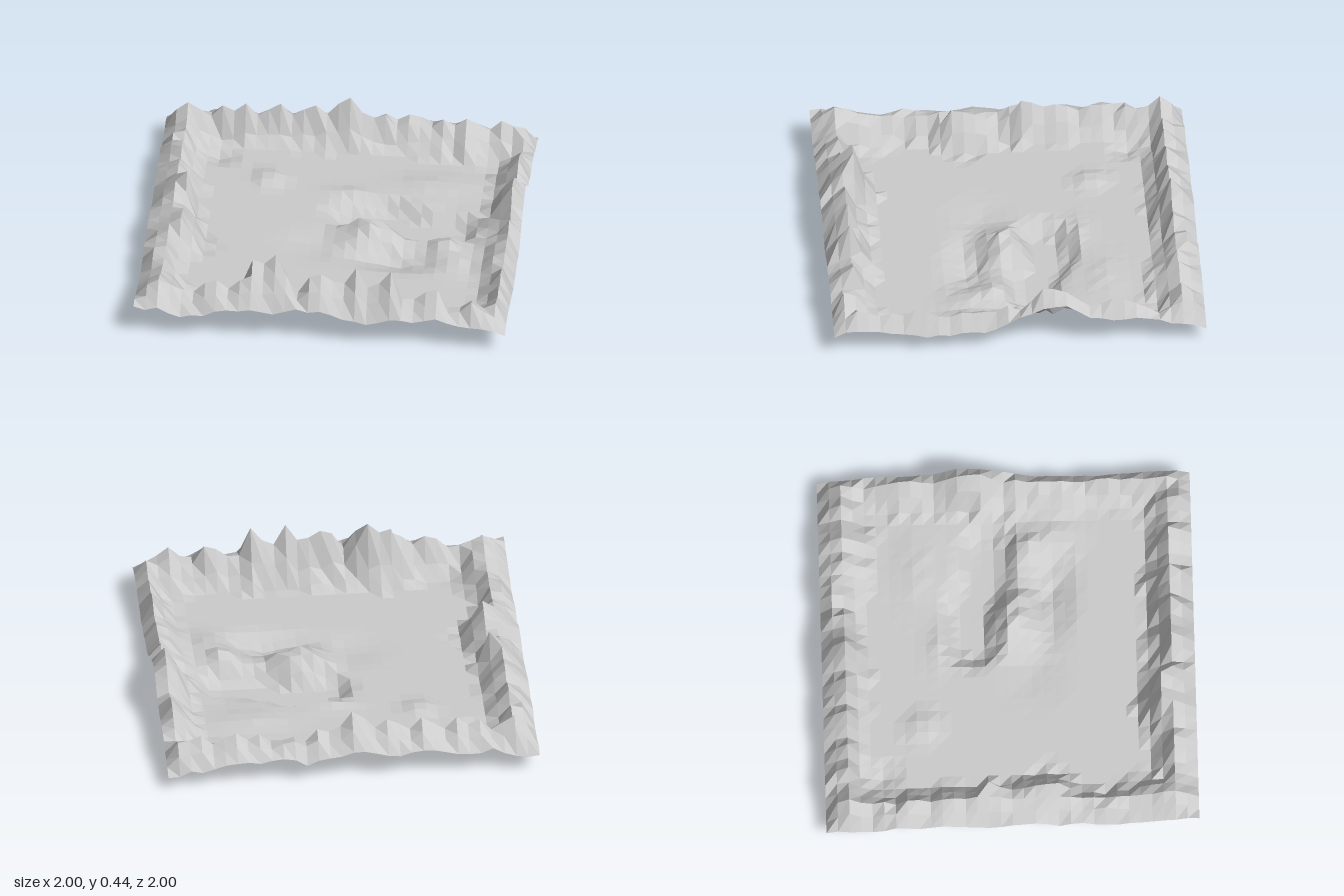
import * as THREE from 'three';

const N = 32;         // cells per side
const FLOOR = 0.08;   // height of the valley floor

// Repeatable noise in -1..1
const noise = (i, j) => {
  const s = Math.sin(i * 127.1 + j * 311.7 + 4.3) * 43758.5453;
  return (s - Math.floor(s)) * 2 - 1;
};

// Samples an evenly spaced list at t = 0..1
const sample = (list, t) => {
  const f = t * (list.length - 1);
  const k = Math.min(Math.floor(f), list.length - 2);
  return THREE.MathUtils.lerp(list[k], list[k + 1], f - k);
};

// Mountain rims: crest and outer edge heights along each side (from -1 to 1),
// with the crest (at) and inner foot given in cells from the edge
const rims = {
  front: {
    crest: [0.22, 0.25, 0.25, 0.24, 0.23, 0.22, 0.28, 0.3, 0.25, 0.33, 0.4, 0.38, 0.44, 0.39, 0.25, 0.35, 0.37,
      0.33, 0.32, 0.42, 0.3, 0.33, 0.41, 0.24, 0.24, 0.29, 0.31, 0.22, 0.24, 0.33, 0.26, 0.22, 0.16],
    edge: [0.19, 0.17, 0.14, 0.16, 0.2, 0.2, 0.18, 0.22, 0.22, 0.17, 0.15, 0.19, 0.17, 0.2, 0.16, 0.15, 0.13],
    at: [2, 2, 2, 2, 2, 3, 3, 2, 2, 2, 2, 2, 2, 2, 1.5, 1.5, 2],
    foot: [3.6, 4, 4, 4, 4.2, 4.8, 5, 4.8, 4, 4, 4.3, 4.2, 4, 4, 4, 3.6, 3.4],
  },
  back: {
    crest: [0.18, 0.23, 0.28, 0.24, 0.2, 0.27, 0.24, 0.29, 0.22, 0.26, 0.3, 0.23, 0.27, 0.3, 0.25, 0.32, 0.36,
      0.27, 0.24, 0.29, 0.23, 0.27, 0.24, 0.21, 0.25, 0.22, 0.28, 0.24, 0.2, 0.26, 0.23, 0.19, 0.16],
    edge: [0.1, 0.12, 0.16, 0.13, 0.15, 0.18, 0.14, 0.17, 0.19, 0.15, 0.13, 0.17, 0.14, 0.16, 0.12, 0.12, 0.08],
    at: [2, 2, 2, 2, 2, 2, 2, 2, 2, 2, 1.6, 1.5, 2, 2.4, 2, 2, 2],
    foot: [3.6, 3.3, 3.3, 3.4, 3.5, 3.8, 4, 4, 3.6, 3.4, 3.5, 4.2, 4.8, 5, 4.6, 3.6, 3.4],
  },
  left: { // +x side
    crest: [0.14, 0.2, 0.26, 0.2, 0.15, 0.19, 0.22, 0.25, 0.26, 0.24, 0.23, 0.28, 0.33, 0.35, 0.34, 0.26, 0.2,
      0.24, 0.2, 0.22, 0.23, 0.24, 0.21, 0.2, 0.22, 0.23, 0.2, 0.22, 0.2, 0.22, 0.24, 0.2, 0.16],
    edge: [0.08, 0.13, 0.15, 0.17, 0.17, 0.18, 0.27, 0.25, 0.2, 0.13, 0.12, 0.11, 0.1, 0.12, 0.14, 0.15, 0.13],
    at: [1.5, 1.5, 1, 1, 1, 1.5, 1.5, 1, 1, 1, 1.5, 1.5, 1, 1, 1, 1, 1.5],
    foot: [3.4, 3.2, 3.2, 3, 3.4, 3, 3, 3.4, 3.2, 3.4, 3, 3.4, 3, 3, 3, 3, 3.4],
  },
  right: { // -x side
    crest: [0.18, 0.23, 0.24, 0.22, 0.2, 0.25, 0.22, 0.26, 0.24, 0.21, 0.25, 0.26, 0.24, 0.3, 0.33, 0.29, 0.23,
      0.24, 0.25, 0.27, 0.28, 0.25, 0.21, 0.24, 0.26, 0.24, 0.22, 0.24, 0.26, 0.3, 0.31, 0.25, 0.22],
    edge: [0.09, 0.12, 0.11, 0.15, 0.13, 0.16, 0.14, 0.12, 0.15, 0.17, 0.14, 0.16, 0.13, 0.14, 0.17, 0.18, 0.19],
    at: [2, 2, 2, 1.5, 2, 2.3, 2, 3, 2.5, 3, 3, 2, 1.5, 2, 2.5, 2.5, 2],
    foot: [3.6, 4, 4, 3.6, 4, 4.2, 4, 4, 4.4, 5.4, 5.2, 3.7, 3.4, 4.4, 5, 4.8, 4],
  },
};

// Height of one rim, d cells in from its edge and t along it
function rimHeight(rim, d, t, n) {
  const top = sample(rim.crest, t), low = sample(rim.edge, t), at = sample(rim.at, t);
  const end = sample(rim.foot, t) + n * 0.5;
  if (d >= end) return 0;
  if (d <= at) return THREE.MathUtils.lerp(low, top, Math.pow(d / at, 0.9));
  return FLOOR + (top - FLOOR) * Math.pow((end - d) / (end - at), 1.2);
}

// Gentle mounds and dips on the floor: x, z, radius x, radius z, height
const swells = [
  [0.17, 0.02, 0.12, 0.12, 0.1], [0.3, 0.08, 0.06, 0.06, 0.03], [0.6, 0.12, 0.07, 0.12, 0.05],
  [0.35, 0.24, 0.2, 0.09, -0.055], [-0.1, 0.15, 0.14, 0.12, -0.015], [-0.4, -0.47, 0.07, 0.08, 0.035],
  [0.5, -0.48, 0.2, 0.1, 0.02], [0.66, 0.25, 0.12, 0.12, 0.025], [-0.72, 0.18, 0.06, 0.06, -0.06],
  [-0.68, -0.68, 0.06, 0.06, -0.045], [0.05, -0.38, 0.12, 0.05, 0.02],
];

// Flat-bottomed channel: centre line x, z
const channel = [[0.08, -0.18], [0.25, -0.21], [0.45, -0.11], [0.61, -0.1]].map(([x, z]) => new THREE.Vector2(x, z));

function channelDistance(x, z) {
  let best = Infinity;
  for (let k = 0; k < channel.length - 1; k++) {
    const a = channel[k], ab = channel[k + 1].clone().sub(a);
    const p = new THREE.Vector2(x, z).sub(a);
    const t = THREE.MathUtils.clamp(p.dot(ab) / ab.lengthSq(), 0, 1);
    best = Math.min(best, p.distanceTo(ab.multiplyScalar(t)));
  }
  return best;
}

function height(i, j) {
  const x = i / N * 2 - 1, z = j / N * 2 - 1, n = noise(i, j);

  // Floor
  let h = FLOOR;
  for (const [cx, cz, rx, rz, a] of swells) {
    const w = Math.exp(-(((x - cx) / rx) ** 2) - ((z - cz) / rz) ** 2);
    if (w > 0.06) h += a * w * (1 + n * 0.2);
  }
  // Channel sunk into the floor
  const depth = 1 - THREE.MathUtils.smoothstep(channelDistance(x, z), 0.07, 0.17);
  h = Math.max(0, THREE.MathUtils.lerp(h, 0, depth));

  // Rims, held down to the edge height on the outermost row
  const sides = [
    [rims.front, N - j, i / N], [rims.back, j, i / N],
    [rims.left, N - i, j / N], [rims.right, i, j / N],
  ];
  for (const [rim, d, t] of sides) h = Math.max(h, rimHeight(rim, d, t, n));
  for (const [rim, d, t] of sides) {
    if (d === 0) h = Math.min(h, sample(rim.edge, t) + n * 0.02);
  }
  return h;
}

export function createModel() {
  const group = new THREE.Group();
  group.name = 'mountainValley';

  const positions = [], index = [];
  for (let j = 0; j <= N; j++) {
    for (let i = 0; i <= N; i++) {
      positions.push(i / N * 2 - 1, height(i, j), j / N * 2 - 1);
      if (i < N && j < N) {
        const a = j * (N + 1) + i, b = a + N + 1;
        index.push(a, b, b + 1, a, b + 1, a + 1);
      }
    }
  }
  const geometry = new THREE.BufferGeometry();
  geometry.setAttribute('position', new THREE.Float32BufferAttribute(positions, 3));
  geometry.setIndex(index);
  geometry.computeVertexNormals();

  const terrain = new THREE.Mesh(geometry, new THREE.MeshStandardMaterial({
    color: 0xcccccc, flatShading: true, side: THREE.DoubleSide,
  }));
  terrain.name = 'terrain';
  group.add(terrain);
  return group;
}
